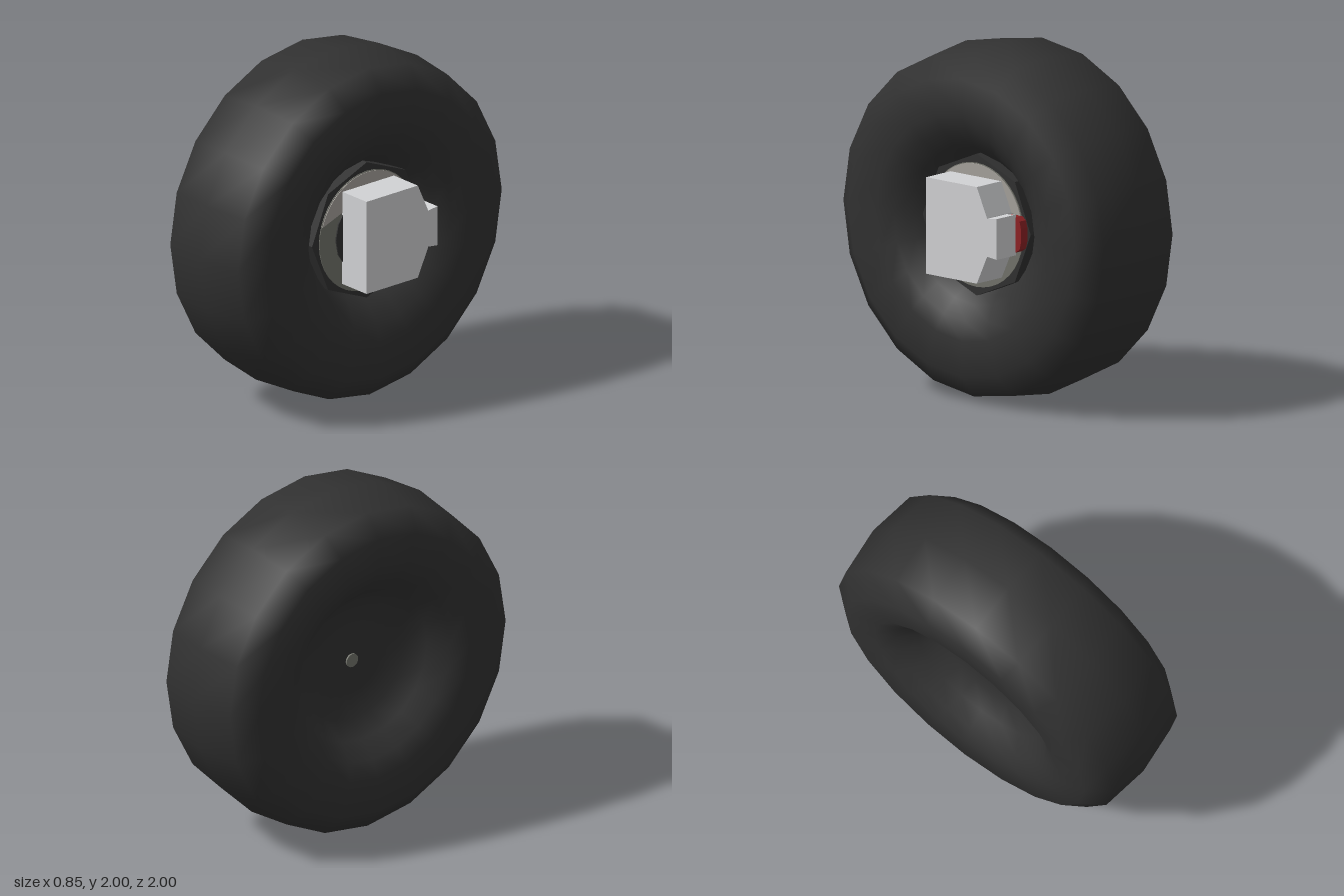
import * as THREE from 'three';

const mat = (name, color) => {
  const m = new THREE.MeshStandardMaterial({ color });
  m.name = name;
  return m;
};

export function createModel() {
  const group = new THREE.Group();
  const rubber = mat('black rubber', 0x313131);
  const shell = mat('pale grey casing', 0xd2d3d5);
  const lightPlate = mat('light hub grey', 0xa6a29c);
  const darkPlate = mat('dark hub grey', 0x72736b);
  const red = mat('red plug', 0x8e2224);

  const add = (name, geometry, material) => {
    const mesh = new THREE.Mesh(geometry, material);
    mesh.name = name;
    group.add(mesh);
    return mesh;
  };
  // Cylinder along x between x0 and x1
  const axial = (r, x0, x1, sides) =>
    new THREE.CylinderGeometry(r, r, x1 - x0, sides).rotateZ(-Math.PI / 2).translate((x0 + x1) / 2, 0, 0);
  // Side outline given as (-z, y), extruded along x from x0 to x1
  const plate = (shape, x0, x1) =>
    new THREE.ExtrudeGeometry(shape, { depth: x1 - x0, bevelEnabled: false, curveSegments: 24 })
      .rotateY(Math.PI / 2).translate(x0, 0, 0);
  const outline = (pts) => new THREE.Shape(pts.map(([a, y]) => new THREE.Vector2(a, y)));

  // Tyre: rounded section with a dished back, 20 sides
  const section = [
    [0, -0.18], [0.2, -0.18], [0.36, -0.19], [0.45, -0.28], [0.54, -0.37], [0.64, -0.42],
    [0.84, -0.425], [0.965, -0.325], [1, -0.04], [0.965, 0.24], [0.84, 0.34],
    [0.64, 0.335], [0.54, 0.3], [0.45, 0.24], [0.4, 0.18], [0.36, 0.13],
  ].map(([r, x]) => new THREE.Vector2(r, x));
  add('tyre', new THREE.LatheGeometry(section, 20).rotateZ(-Math.PI / 2), rubber);

  // Octagonal hub, its two-tone face and the axle
  const hub = add('hub', axial(0.4, -0.12, 0.215, 8).toNonIndexed(), rubber);
  hub.geometry.computeVertexNormals();
  add('hubFace', axial(0.35, 0.214, 0.22, 40), darkPlate);
  const upper = new THREE.Shape();
  upper.moveTo(-0.19, 0.15);
  upper.lineTo(0.33, 0.1);
  upper.absarc(0, 0, 0.345, 0.29, Math.PI - 0.29, false);
  add('hubFaceUpper', plate(upper, 0.219, 0.224), lightPlate);
  add('hubCentre', axial(0.235, 0.22, 0.228, 16), rubber);
  add('axle', axial(0.04, -0.19, 0.2, 16), darkPlate);

  // Motor casing with tapered shoulders
  add('motorCasing', plate(outline([
    [-0.185, -0.27], [0.19, -0.27], [0.265, -0.11], [0.265, 0.11], [0.19, 0.275], [-0.185, 0.275],
  ]), 0.2, 0.425), shell);
  // Connector neck and plug behind it
  add('connectorNeck', plate(outline([
    [0.25, -0.105], [0.335, -0.115], [0.335, 0.115], [0.25, 0.105],
  ]), 0.265, 0.424), shell);
  add('plug', plate(outline([
    [0.24, -0.1], [0.335, -0.1], [0.365, -0.08], [0.375, -0.04],
    [0.375, 0.04], [0.365, 0.08], [0.335, 0.1], [0.24, 0.1],
  ]), 0.19, 0.268), red);

  group.children.forEach((m) => { m.position.y = 1; });
  return group;
}
